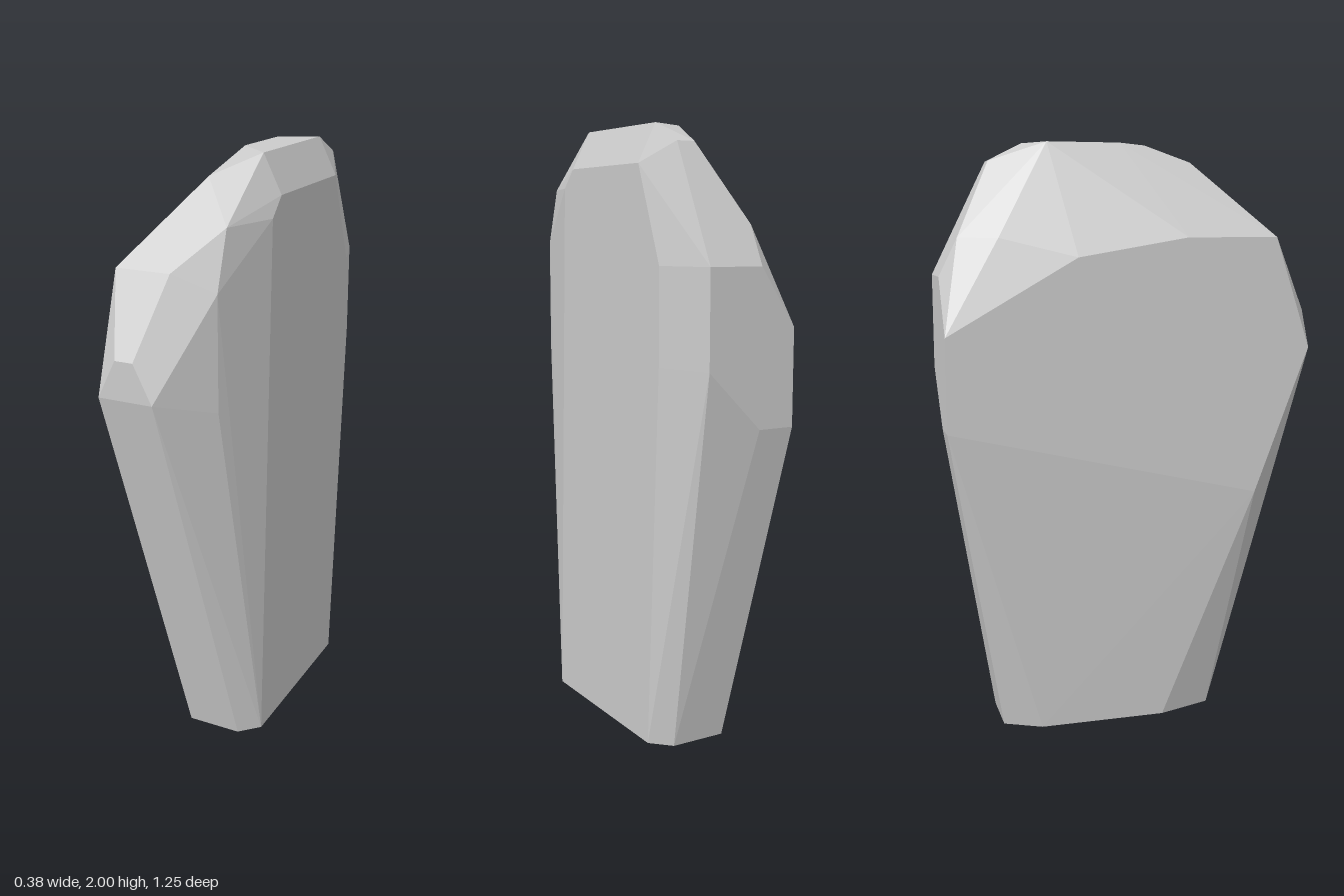
import * as THREE from 'three';
import { ConvexGeometry } from 'three/addons/geometries/ConvexGeometry.js';

// The chiselled slab lies on a grid of sixteenths.
const U = 1 / 16;

// Outlines through the slab's thickness: x, then [y, z] corners.
const layers = [
  // flat right face
  [-3, [[27, 8], [21, 10], [13, 7], [17, -10], [22, -10], [26, -3], [27, 3]]],
  // bevel of the right face
  [-2, [[23, 10], [27, -7], [0, -5], [0, 2]]],
  [-1, [[23, 10], [0, 5], [0, -7], [17, -10], [25, -10], [27, -9]]],
  // ridge of the crown and the front edge
  [0, [[21, 10], [27, 8], [31, 4], [32, 0], [32, -4]]],
  [1, [[31, -7]]],
  // bevel of the left face
  [2, [[0, 5], [20, 7], [26, 7], [29, 6], [32, 2], [32, -5], [31, -7], [25, -10], [20, -10], [0, -7]]],
  // flat left face
  [3, [[0, 4], [29, 3], [30, 2], [30, -5], [25, -7], [20, -7], [0, -6]]],
];

export function createModel() {
  const group = new THREE.Group();
  group.name = 'standingStone';

  const points = [];
  for (const [x, outline] of layers) {
    for (const [y, z] of outline) points.push(new THREE.Vector3(x * U, y * U, z * U));
  }

  const stone = new THREE.Mesh(
    new ConvexGeometry(points),
    new THREE.MeshStandardMaterial({ color: 0xcccccc, flatShading: true })
  );
  stone.name = 'stoneSlab';
  group.add(stone);
  return group;
}
